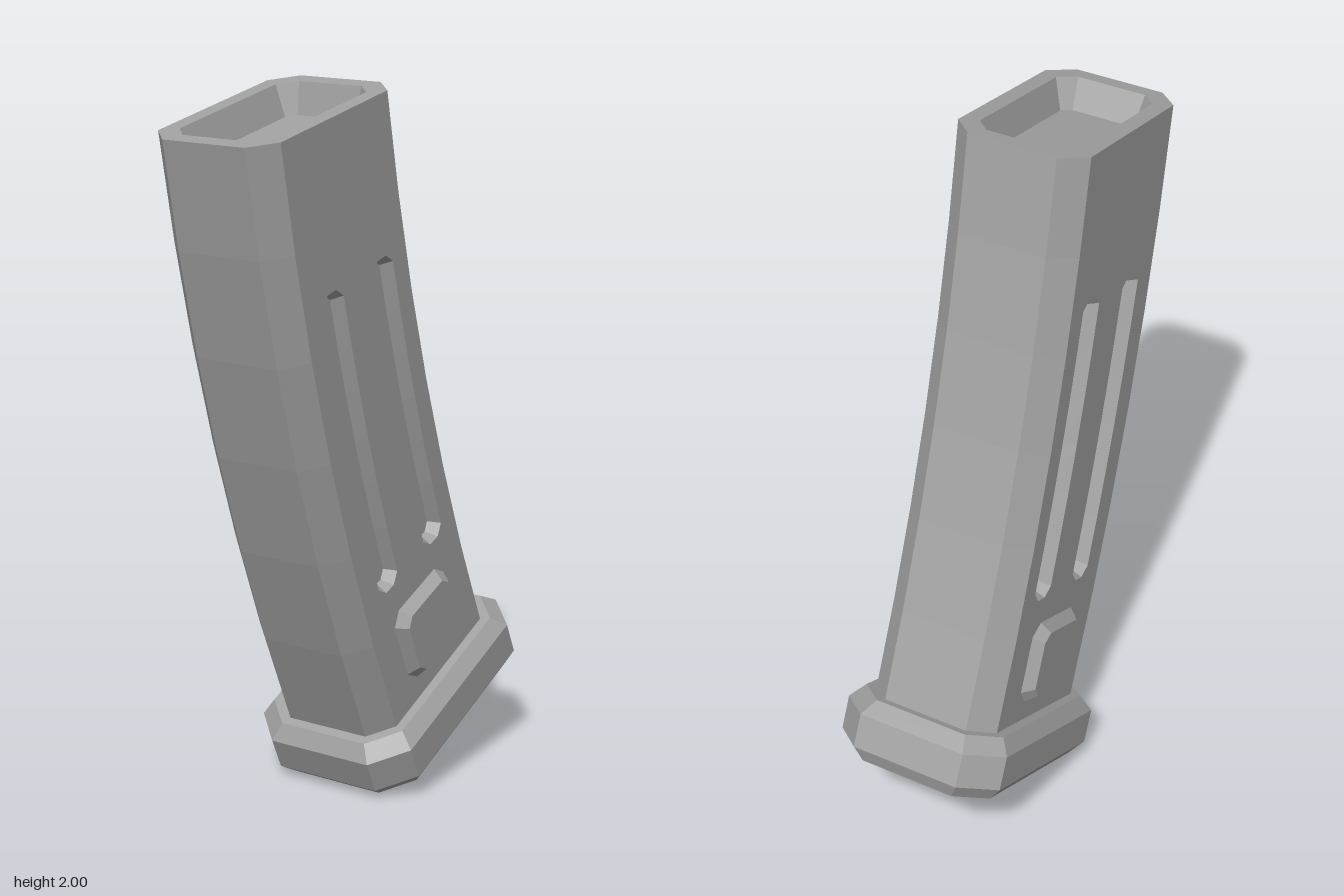
import * as THREE from 'three';

const RAD = Math.PI / 180;
const R = 6.8, CX = 6.397, CY = 3.131;   // arc that the curved body follows
const TOP = 10, BOTTOM = 24.6;           // tilt at both ends, in degrees
const HU = 0.303, HZ = 0.195, CH = 0.065; // body half width, half depth, chamfer
const SEG = 6;

// Point at tilt a on the arc: u across, v along, z depth
function place(a, u, v, z) {
  const c = Math.cos(a * RAD), s = Math.sin(a * RAD);
  return [CX - R * c + u * c - v * s, CY - R * s + u * s + v * c, z];
}

// Chamfered rectangle, counter-clockwise
function octagon(a, b, c) {
  return [[a, -b + c], [a, b - c], [a - c, b], [c - a, b], [-a, b - c], [-a, c - b], [c - a, -b], [a - c, -b]];
}

// Section across the body at tilt a and height v
const section = (a, hu, hz, c, v = 0) => octagon(hu, hz, c).map(([u, w]) => place(a, u, v, -w));

// Collects flat quads between rings of points
class Faces {
  constructor() { this.pos = []; }
  quad(a, b, c, d) { this.pos.push(...a, ...b, ...c, ...a, ...c, ...d); }
  strips(rings, skip = []) {
    for (let k = 0; k + 1 < rings.length; k++) {
      const A = rings[k], B = rings[k + 1], n = A.length;
      for (let i = 0; i < n; i++) {
        const j = (i + 1) % n;
        if (!skip.includes(i)) this.quad(A[i], A[j], B[j], B[i]);
      }
    }
    return this;
  }
  cap(r) {
    const n = r.length;
    for (let i = 0; i < n / 2 - 1; i++) this.quad(r[i], r[i + 1], r[n - 2 - i], r[n - 1 - i]);
    return this;
  }
  geometry() {
    const g = new THREE.BufferGeometry();
    g.setAttribute('position', new THREE.Float32BufferAttribute(this.pos, 3));
    g.computeVertexNormals();
    return g;
  }
}

// Copy reflected to the other side, with the corner order reversed
function mirrorZ(geo) {
  const g = geo.index ? geo.toNonIndexed() : geo.clone();
  const p = g.attributes.position;
  for (let i = 0; i < p.count; i += 3) {
    const t = [0, 2, 1].map((k) => [p.getX(i + k), p.getY(i + k), -p.getZ(i + k)]);
    t.forEach((q, k) => p.setXYZ(i + k, ...q));
  }
  g.computeVertexNormals();
  return g;
}

// Outline of a long curved groove centred on u
function grooveRing(u, inset, z) {
  const h = 0.048 - inset, c = 0.028 - inset * 0.4;
  const a0 = 13.7 + inset / R / RAD, a1 = 21.3 - inset / R / RAD, e = c / R / RAD;
  const right = [], left = [];
  for (let i = 0; i <= SEG; i++) {
    const a = a1 - e + (a0 - a1 + 2 * e) * i / SEG;
    right.push(place(a, u + h, 0, z));
    left.unshift(place(a, u - h, 0, z));
  }
  return [place(a1, u + h - c, 0, z), ...right, place(a0, u + h - c, 0, z),
    place(a0, u - h + c, 0, z), ...left, place(a1, u - h + c, 0, z)];
}

export function createModel() {
  const group = new THREE.Group();
  const grey = new THREE.MeshStandardMaterial({ color: 0xa0a0a0 });
  grey.name = 'grey';
  const add = (name, geo) => {
    const mesh = new THREE.Mesh(geo, grey);
    mesh.name = name;
    group.add(mesh);
  };
  const tilts = Array.from({ length: SEG + 1 }, (_, i) => BOTTOM + (TOP - BOTTOM) * i / SEG);

  // Curved edges and chamfers, leaving the two flat sides open
  add('bodyEdges', new Faces().strips(tilts.map((a) => section(a, HU, HZ, CH)), [2, 6]).geometry());

  // Rim and shallow sloping pocket at the open top
  const floor = section(TOP, 0.222, 0.118, 0.025, -0.085);
  add('topOpening', new Faces().strips([
    section(TOP, HU, HZ, CH), section(TOP, 0.254, 0.147, 0.045), floor,
  ]).cap(floor).geometry());

  // Flat sides with two grooves and a raised pad each
  const grooves = [-0.11, 0.125];
  const toV2 = (p) => new THREE.Vector2(p[0], p[1]);
  const shape = new THREE.Shape([
    ...tilts.map((a) => toV2(place(a, HU - CH, 0, 0))),
    ...tilts.slice().reverse().map((a) => toV2(place(a, CH - HU, 0, 0))),
  ]);
  shape.holes = grooves.map((u) => new THREE.Path(grooveRing(u, 0, 0).map(toV2).reverse()));
  const panel = new THREE.ShapeGeometry(shape).translate(0, 0, HZ);

  const recess = new Faces();
  for (const u of grooves) {
    const bed = grooveRing(u, 0.016, HZ - 0.035);
    recess.strips([grooveRing(u, 0, HZ), bed]).cap(bed);
  }

  const padRing = (inset, z) =>
    octagon(0.132 - inset, 0.12 - inset, 0.036 - inset * 0.4).map(([u, v]) => place(23, u, v, z));
  const padTop = padRing(0.024, 0.226);
  const pad = new Faces().strips([padRing(0, HZ), padTop]).cap(padTop);

  const sideParts = { sidePanel: panel, grooves: recess.geometry(), raisedPad: pad.geometry() };
  for (const [name, geo] of Object.entries(sideParts)) {
    add(name + 'Front', geo);
    add(name + 'Back', mirrorZ(geo));
  }

  // Bevelled base plate
  const base = [
    section(BOTTOM, 0.336, 0.224, 0.08, -0.175),
    section(BOTTOM, 0.368, 0.256, 0.092, -0.132),
    section(BOTTOM, 0.368, 0.256, 0.092, -0.033),
    section(BOTTOM, 0.33, 0.222, 0.08, 0.008),
  ];
  add('basePlate', new Faces().strips(base).cap(base[3]).cap(base[0].slice().reverse()).geometry());

  return group;
}
